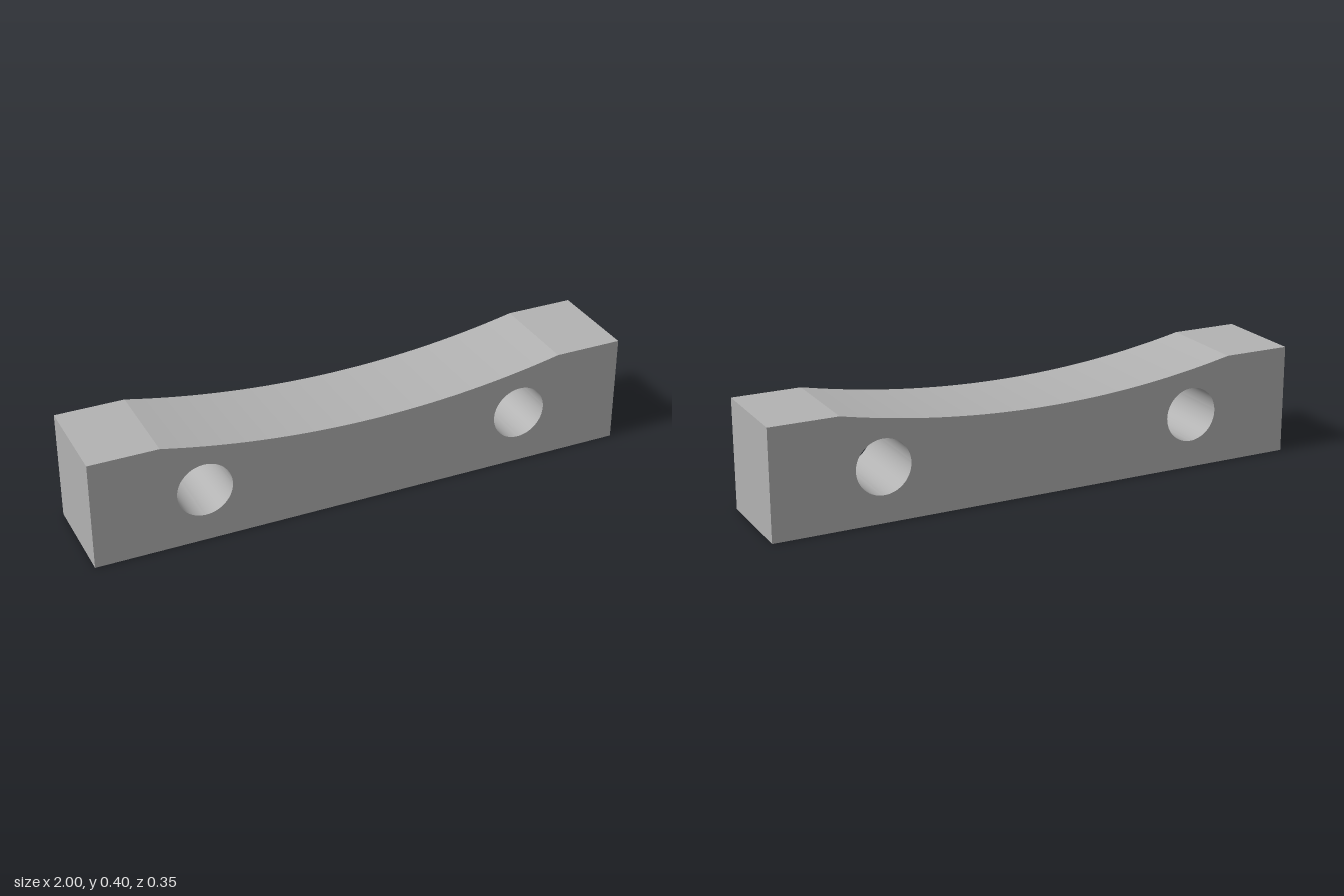
import * as THREE from 'three';
import { toCreasedNormals } from 'three/addons/utils/BufferGeometryUtils.js';

const HEIGHT = 0.4, DEPTH = 0.352;
const HALF_CHORD = 0.75, SAG = 0.08; // shallow saddle cut into the top
const HOLE_X = 0.6, HOLE_Y = 0.2, HOLE_RADIUS = 0.1;

export function createModel() {
  const grey = new THREE.MeshStandardMaterial({ color: 0xb2b2b2 });
  grey.name = 'grey';

  // Front outline: a bar with a concave arc in its top edge
  const radius = (HALF_CHORD ** 2 + SAG ** 2) / (2 * SAG);
  const sweep = Math.asin(HALF_CHORD / radius);
  const outline = new THREE.Shape();
  outline.moveTo(-1, 0);
  outline.lineTo(1, 0);
  outline.lineTo(1, HEIGHT);
  outline.lineTo(HALF_CHORD, HEIGHT);
  outline.absarc(0, HEIGHT - SAG + radius, radius, -Math.PI / 2 + sweep, -Math.PI / 2 - sweep, true);
  outline.lineTo(-1, HEIGHT);
  outline.closePath();

  // Two bolt holes running front to back
  for (const side of [-1, 1]) {
    const hole = new THREE.Path();
    hole.absarc(side * HOLE_X, HOLE_Y, HOLE_RADIUS, 0, Math.PI * 2, true);
    outline.holes.push(hole);
  }

  const geometry = new THREE.ExtrudeGeometry(outline, {
    depth: DEPTH, bevelEnabled: false, curveSegments: 32,
  });
  geometry.translate(0, 0, -DEPTH / 2);

  // Smooth along the arc and holes, sharp at every corner
  const block = new THREE.Mesh(toCreasedNormals(geometry, 0.15), grey);
  block.name = 'saddleBlock';

  const model = new THREE.Group();
  model.name = 'saddleClampBlock';
  model.add(block);
  return model;
}
